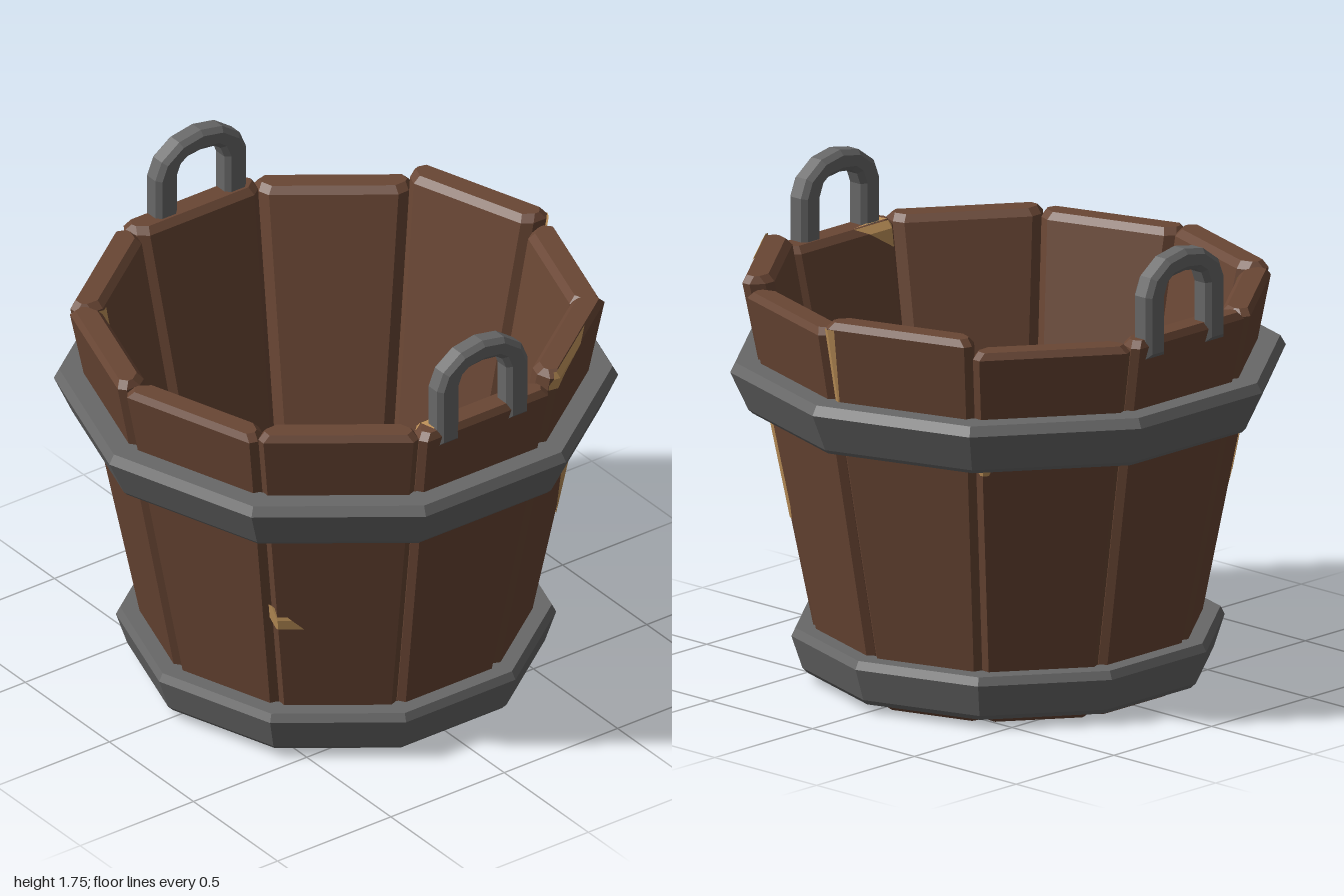
import * as THREE from 'three';

const SIDES = 10;
const STEP = (Math.PI * 2) / SIDES;
const TAN = Math.tan(STEP / 2);
const THICK = 0.11;   // stave thickness
const C = 0.028;      // long edge chamfer
const TOP_C = 0.025;  // end chamfer
const HEIGHTS = [1.45, 1.5, 1.46, 1.495, 1.445, 1.455, 1.45, 1.46, 1.45, 1.46];

// Distance from the axis to the middle of a stave's outer face
const apothem = (y) => (0.665 + 0.2 * y) * Math.cos(STEP / 2);

// Stave coordinates (tangent, height, radial) to model space
function place(k, t, y, r) {
  const a = k * STEP;
  return [Math.sin(a) * r + Math.cos(a) * t, y, Math.cos(a) * r - Math.sin(a) * t];
}

// Faceted geometry from a list of triangle corners
function facets(points) {
  const g = new THREE.BufferGeometry();
  g.setAttribute('position', new THREE.Float32BufferAttribute(points.flat(), 3));
  g.computeVertexNormals();
  return g;
}

function facet(geometry) {
  const g = geometry.index ? geometry.toNonIndexed() : geometry;
  g.computeVertexNormals();
  return g;
}

// Eight-sided stave section at one height, shrunk by s at the ends
function section(k, y, s) {
  const a = apothem(y) - s;
  const b = apothem(y) - THICK + s;
  const half = [
    [b * TAN - C - s, b],
    [(b + C) * TAN - 0.001 - s, b + C],
    [(a - C) * TAN - 0.001 - s, a - C],
    [a * TAN - C - s, a],
  ];
  const mirrored = half.map(([t, r]) => [-t, r]).reverse();
  return [...half, ...mirrored].map(([t, r]) => place(k, t, y, r));
}

function staveGeometry(k) {
  const h = HEIGHTS[k];
  const rings = [
    section(k, 0, 0.015), section(k, 0.02, 0),
    section(k, h - TOP_C, 0), section(k, h, 0.018),
  ];
  const out = [];
  for (let j = 0; j < rings.length - 1; j++) {
    const lo = rings[j], hi = rings[j + 1];
    for (let i = 0; i < 8; i++) {
      const n = (i + 1) % 8;
      out.push(lo[n], lo[i], hi[i], lo[n], hi[i], hi[n]);
    }
  }
  const bottom = rings[0], top = rings[3];
  for (let i = 1; i < 7; i++) {
    out.push(bottom[0], bottom[i], bottom[i + 1], top[0], top[i + 1], top[i]);
  }
  return facets(out);
}

// Thin chip hugging a stave edge; rows are [height, start, end] measured from that edge
function chipGeometry(k, side, inner, rows) {
  const sign = inner ? -1 : 1;
  const point = (d, y) => {
    const base = apothem(y) - (inner ? THICK : 0);
    const drop = Math.max(0, C - d) + Math.max(0, y - HEIGHTS[k] + TOP_C) * 0.72;
    return place(k, side * (base * TAN - d), y, base + sign * (0.004 - drop));
  };
  const grid = rows.map(([y, d0, d1]) =>
    [d0, Math.min(Math.max(C, d0), d1), d1].map((d) => point(d, y)));
  const flip = side * sign > 0;
  const out = [];
  for (let j = 0; j < grid.length - 1; j++) {
    for (let i = 0; i < 2; i++) {
      const p = grid[j][i], q = grid[j][i + 1], r = grid[j + 1][i + 1], s = grid[j + 1][i];
      if (flip) out.push(p, q, r, p, r, s);
      else out.push(p, r, q, p, s, r);
    }
  }
  return facets(out);
}

// Ten-sided turned part with corners on the x axis
function turned(profile) {
  const pts = profile.map(([r, y]) => new THREE.Vector2(r, y));
  return facet(new THREE.LatheGeometry(pts, SIDES, Math.PI / 2));
}

// Arched handle with bevelled edges
function handleGeometry() {
  const bevel = 0.018;
  const outer = [[0.2, 1.4], [0.2, 1.61], [0.17, 1.68], [0.1, 1.73], [0, 1.75]];
  const inner = [[0.105, 1.4], [0.105, 1.6], [0.09, 1.64], [0.055, 1.665], [0, 1.67]];
  const arch = (pts, grow) => {
    const half = pts.map(([x, y], i) => [
      i === 4 ? 0 : x + grow * (i < 2 ? 1 : 0.7),
      y + grow * (i === 0 ? 0 : i < 2 ? 0.2 : i === 4 ? 1 : 0.8)]);
    return [...half, ...half.slice(0, -1).reverse().map(([x, y]) => [-x, y])];
  };
  const outline = [...arch(outer, -bevel), ...arch(inner, bevel).reverse()];
  const shape = new THREE.Shape(outline.map(([x, y]) => new THREE.Vector2(x, y)));
  const g = new THREE.ExtrudeGeometry(shape, {
    depth: 0.05, bevelEnabled: true, bevelSegments: 1, bevelSize: bevel, bevelThickness: bevel,
  });
  g.translate(0, 0, -0.025);
  return facet(g);
}

export function createModel() {
  const wood = new THREE.MeshStandardMaterial({ color: 0x694634 });
  wood.name = 'brown wood';
  const metal = new THREE.MeshStandardMaterial({ color: 0x686868 });
  metal.name = 'grey iron';
  const bare = new THREE.MeshStandardMaterial({ color: 0xc0935a, side: THREE.DoubleSide });
  bare.name = 'bare wood';

  const model = new THREE.Group();
  model.name = 'bucket';
  const add = (name, geometry, material) => {
    const mesh = new THREE.Mesh(geometry, material);
    mesh.name = name;
    model.add(mesh);
    return mesh;
  };

  // Wooden wall and floor
  for (let k = 0; k < SIDES; k++) add('stave' + (k + 1), staveGeometry(k), wood);
  add('floor', turned([[0, 0.03], [0.62, 0.03], [0.62, 0.18], [0, 0.18]]), wood);

  // Iron hoops
  add('upperHoop', turned([
    [0.85, 1.0], [0.92, 1.0], [0.935, 1.015], [1.0, 1.155], [0.98, 1.19], [0.88, 1.19], [0.85, 1.0],
  ]), metal);
  add('lowerHoop', turned([
    [0.65, 0.03], [0.72, 0.03], [0.74, 0.05], [0.78, 0.17], [0.765, 0.2], [0.68, 0.2], [0.65, 0.03],
  ]), metal);

  // Handles, set slightly off centre
  add('frontHandle', handleGeometry(), metal).position.set(-0.015, 0, 0.865);
  add('backHandle', handleGeometry(), metal).position.set(0.03, 0, -0.87);

  // Chips where bare wood shows: stave, side, inner face, rows
  const chips = [
    [1, -1, false, [[1.5, 0.02, 0.36], [1.475, 0.01, 0.27], [1.455, 0, 0.1], [1.43, 0, 0.03]]],
    [1, 1, false, [[1.02, 0, 0.13], [0.8, 0, 0.11], [0.6, 0.02, 0.035]]],
    [9, -1, false, [[0.66, 0, 0.01], [0.6, 0, 0.08], [0.56, 0.02, 0.12]]],
    [3, -1, false, [[1.47, 0.01, 0.055], [1.2, 0.01, 0.035], [1.05, 0.01, 0.015]]],
    [6, 1, true, [[1.42, 0, 0.05], [1.2, 0, 0.03], [0.95, 0, 0.005]]],
    [6, 1, false, [[1.02, 0, 0.05], [0.72, 0, 0.05], [0.6, 0.01, 0.02]]],
    [4, -1, false, [[1.01, 0, 0.07], [0.97, 0.02, 0.05]]],
    [0, -1, true, [[1.45, 0.02, 0.2], [1.425, 0, 0.14], [1.36, 0, 0.03]]],
  ];
  chips.forEach((c, i) => add('chip' + (i + 1), chipGeometry(...c), bare));

  // Chip on the rim beside the front handle
  const a = [-0.235, 1.454, 0.82], b = [-0.22, 1.454, 0.88];
  const c = [-0.18, 1.454, 0.835], d = [-0.06, 1.454, 0.815];
  add('rimChip', facets([a, b, c, a, c, d]), bare);

  return model;
}
